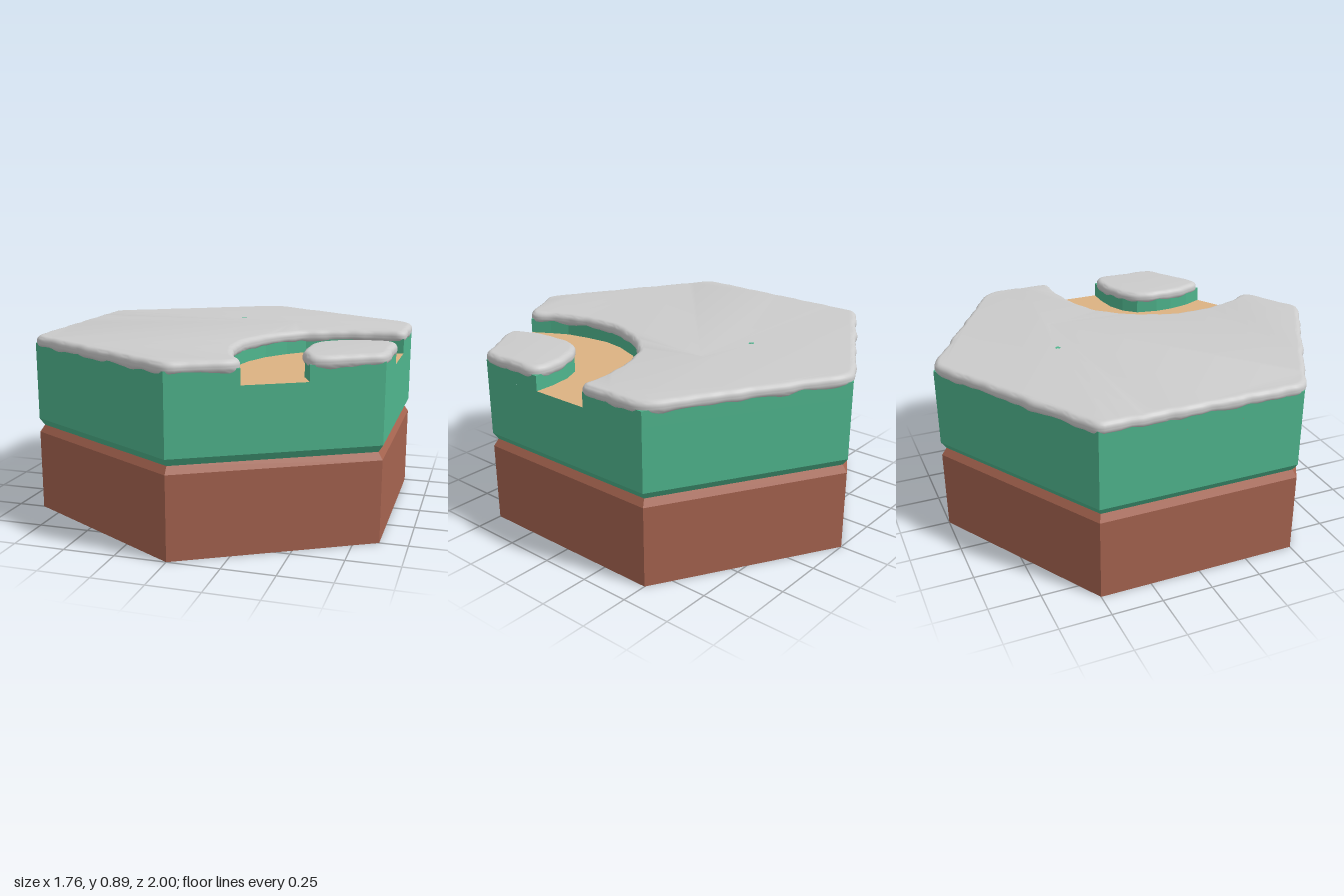
import * as THREE from 'three';
import { toCreasedNormals } from 'three/addons/utils/BufferGeometryUtils.js';

const H = 0.866;
// Path borders on the plan, as [x, z], running from the right side to the front right side
const outerEdge = [[H, -0.15], [0.74, -0.15], [0.62, -0.135], [0.5, -0.095], [0.38, -0.05], [0.3, 0.035], [0.22, 0.15],
  [0.17, 0.28], [0.15, 0.4], [0.165, 0.53], [0.19, 0.65], [0.235, 0.74], [0.29, 0.833]];
const innerEdge = [[H, 0.15], [0.77, 0.15], [0.66, 0.165], [0.57, 0.205], [0.51, 0.27], [0.49, 0.38], [0.492, 0.47],
  [0.515, 0.58], [0.56, 0.677]];
const mainOutline = [...outerEdge, [0, 1], [-H, 0.5], [-H, -0.5], [0, -1], [H, -0.5]];
const cornerOutline = [...innerEdge, [H, 0.5]];

const toShape = (pts) => new THREE.Shape(pts.map(([x, z]) => new THREE.Vector2(x, -z)));

// Splits an outline finely, rounds its corners and makes it slightly wavy
function softOutline(pts) {
  let out = [];
  pts.forEach(([x, z], i) => {
    const [x2, z2] = pts[(i + 1) % pts.length];
    const n = Math.ceil(Math.hypot(x2 - x, z2 - z) / 0.025);
    for (let k = 0; k < n; k++) out.push([x + (x2 - x) * k / n, z + (z2 - z) * k / n]);
  });
  for (let pass = 0; pass < 4; pass++) {
    out = out.map((p, i) => {
      const a = out[(i + out.length - 1) % out.length], b = out[(i + 1) % out.length];
      return [0, 1].map((c) => (a[c] + 2 * p[c] + b[c]) / 4);
    });
  }
  return out.map(([x, z]) => [
    x + 0.003 * Math.sin(31 * z + 1) + 0.002 * Math.sin(67 * z),
    z + 0.003 * Math.sin(29 * x + 2) + 0.002 * Math.sin(61 * x),
  ]);
}

// Soft slab with rounded rim and an uneven lower lip
function snowGeometry(pts, pits = []) {
  const shape = toShape(softOutline(pts));
  for (const [x, z, rx, rz] of pits) {
    const hole = new THREE.Path();
    hole.absellipse(x, -z, rx, rz, 0, Math.PI * 2, true);
    shape.holes.push(hole);
  }
  const geo = new THREE.ExtrudeGeometry(shape, {
    depth: 0.006, bevelThickness: 0.028, bevelSize: 0.028, bevelOffset: -0.02, bevelSegments: 5, curveSegments: 6,
  });
  geo.rotateX(-Math.PI / 2).translate(0, 0.86, 0);
  const p = geo.attributes.position;
  for (let i = 0; i < p.count; i++) {
    const x = p.getX(i), y = p.getY(i), z = p.getZ(i);
    if (y < 0.86) {
      const wave = Math.sin(27 * x + 19 * z) + 0.6 * Math.sin(53 * x - 47 * z);
      p.setY(i, y + 0.004 * wave * (0.86 - y) / 0.028);
    }
  }
  return toCreasedNormals(geo, 0.9);
}

export function createModel() {
  const group = new THREE.Group();
  const mat = (color, extra = {}) => new THREE.MeshStandardMaterial({ color, ...extra });
  const soil = mat(0xa5634f, { flatShading: true });
  const grass = mat(0x4fb58d, { flatShading: true });
  const sand = mat(0xdcb282, { side: THREE.DoubleSide });
  const snow = mat(0xcccccc);
  const add = (name, geo, material) => {
    const mesh = new THREE.Mesh(geo, material);
    mesh.name = name;
    group.add(mesh);
  };
  const hexLathe = (profile) =>
    new THREE.LatheGeometry(profile.map(([r, y]) => new THREE.Vector2(r, y)), 6);

  // Hexagonal layers, meeting in a bevelled groove
  add('soilBase', hexLathe([[0, 0], [1, 0], [1, 0.4], [0.975, 0.435], [0, 0.435]]), soil);
  add('grassLayer', hexLathe([[0, 0.435], [0.975, 0.435], [1, 0.47], [1, 0.78]]), grass);

  // Sunken curved path
  const floor = new THREE.ShapeGeometry(toShape([...outerEdge, ...[...innerEdge].reverse()]));
  add('pathFloor', floor.rotateX(-Math.PI / 2).translate(0, 0.78, 0), sand);

  // Raised ground on both sides of the path
  for (const [name, pts] of [['mainBank', mainOutline], ['cornerBank', cornerOutline]]) {
    const geo = new THREE.ExtrudeGeometry(toShape(pts), { depth: 0.075, bevelEnabled: false });
    add(name, geo.rotateX(-Math.PI / 2).translate(0, 0.78, 0), grass);
  }

  // Snow covers, the large one with two small pits
  add('mainSnow', snowGeometry(mainOutline, [[0.25, -0.335, 0.022, 0.009], [-0.05, -0.395, 0.006, 0.008]]), snow);
  add('cornerSnow', snowGeometry(cornerOutline), snow);
  return group;
}
